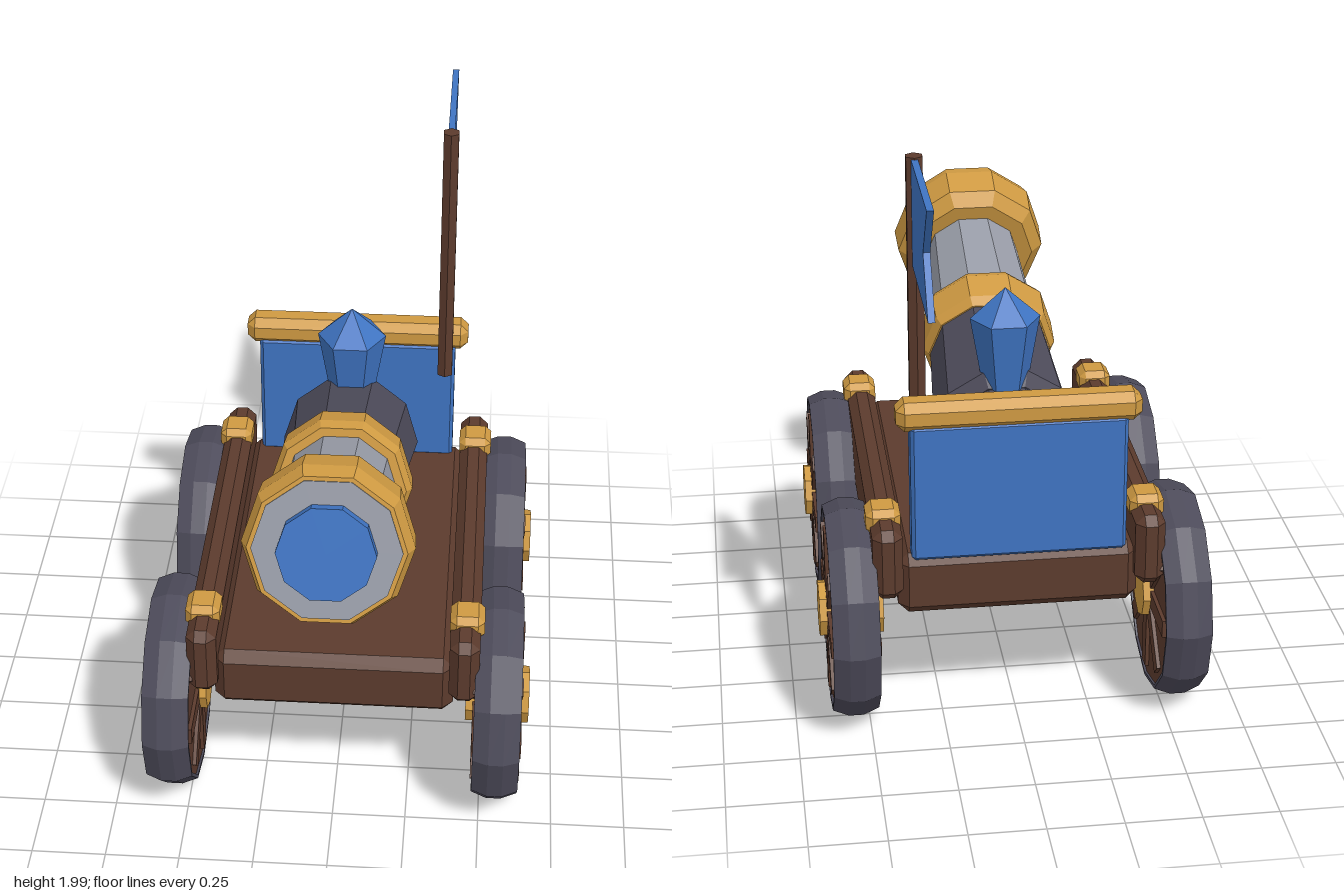
import * as THREE from 'three';
import { ConvexGeometry } from 'three/addons/geometries/ConvexGeometry.js';

function material(name, color) {
  const m = new THREE.MeshStandardMaterial({ color, flatShading: true });
  m.name = name;
  return m;
}

// Box with chamfered edges: w, h, d are full sizes, c is the chamfer
function chamferBox(w, h, d, c) {
  const pts = [];
  const [X, Y, Z] = [w / 2, h / 2, d / 2];
  for (const i of [-1, 1]) for (const j of [-1, 1]) for (const k of [-1, 1]) {
    pts.push(new THREE.Vector3(i * X, j * (Y - c), k * (Z - c)));
    pts.push(new THREE.Vector3(i * (X - c), j * Y, k * (Z - c)));
    pts.push(new THREE.Vector3(i * (X - c), j * (Y - c), k * Z));
  }
  return new ConvexGeometry(pts);
}

// Lathe from [radius, height] pairs listed bottom to top
function lathe(pairs, sides, start = 0) {
  return new THREE.LatheGeometry(pairs.map(p => new THREE.Vector2(p[0], p[1])), sides, start);
}

export function createModel() {
  const model = new THREE.Group();
  model.name = 'cannonCart';
  const wood = material('wood', 0x5c3b2d);
  const gold = material('gold', 0xcf9a42);
  const steel = material('lightSteel', 0x989ca7);
  const iron = material('darkIron', 0x4d4b5a);
  const blue = material('blue', 0x3f74c2);

  function add(parent, name, geometry, mat, x = 0, y = 0, z = 0) {
    const mesh = new THREE.Mesh(geometry, mat);
    mesh.name = name;
    mesh.position.set(x, y, z);
    parent.add(mesh);
    return mesh;
  }

  // Cart bed, side rails and clamps
  add(model, 'deck', chamferBox(0.8, 0.22, 1.3, 0.035), wood, 0, 0.54, 0.05);
  for (const s of [-1, 1]) {
    add(model, 'sideRail', chamferBox(0.1, 0.25, 1.38, 0.03), wood, s * 0.435, 0.635, 0.05);
    for (const z of [0.57, -0.47])
      add(model, 'railClamp', chamferBox(0.115, 0.09, 0.125, 0.022), gold, s * 0.44, 0.742, z);
  }

  // Back board with its top bar
  add(model, 'backBoard', chamferBox(0.71, 0.48, 0.09, 0.012), blue, 0, 0.88, -0.565);
  add(model, 'backBar', chamferBox(0.8, 0.1, 0.11, 0.028), gold, 0, 1.152, -0.567);

  // Wheels: axis along local y, turned to lie along x
  function wheel(side, z) {
    const g = new THREE.Group();
    g.name = 'wheel';
    g.position.set(side * 0.55, 0.374, z);
    g.rotation.z = -side * Math.PI / 2;
    add(g, 'tyre', lathe([[0.335, -0.066], [0.335, -0.078], [0.347, -0.078], [0.368, -0.025],
      [0.368, 0.025], [0.347, 0.078], [0.335, 0.078], [0.335, 0.066]], 12), iron);
    add(g, 'wheelDisc', new THREE.CylinderGeometry(0.338, 0.338, 0.14, 12), wood);
    for (let i = 0; i < 4; i++)
      add(g, 'spoke', new THREE.BoxGeometry(0.59, 0.166, 0.06), wood).rotation.y = i * Math.PI / 4;
    add(g, 'hub', new THREE.CylinderGeometry(0.097, 0.097, 0.215, 8), gold);
    model.add(g);
  }
  for (const s of [-1, 1]) for (const z of [0.505, -0.4]) wheel(s, z);

  // Barrel: local y runs toward the muzzle, origin at the muzzle ring
  const barrel = new THREE.Group();
  barrel.name = 'barrel';
  barrel.position.set(0, 1.24, 0.818);
  barrel.rotation.x = Math.PI / 2 - 0.3;
  model.add(barrel);
  const turn = Math.PI / 10;
  add(barrel, 'muzzleRing', lathe([[0.16, -0.115], [0.225, -0.115], [0.268, -0.07], [0.272, 0.045],
    [0.25, 0.1], [0.23, 0.1]], 10, turn), gold);
  add(barrel, 'muzzleFace', lathe([[0.236, 0.08], [0.236, 0.104], [0, 0.104]], 10, turn), steel);
  add(barrel, 'muzzlePlug', lathe([[0.157, 0.09], [0.157, 0.142], [0, 0.142]], 10, turn), blue);
  add(barrel, 'frontTube', lathe([[0.195, -0.6], [0.17, -0.08]], 10, turn), steel);
  add(barrel, 'middleRing', lathe([[0.19, -0.672], [0.215, -0.672], [0.235, -0.64], [0.238, -0.53],
    [0.22, -0.495], [0.18, -0.495]], 10, turn), gold);
  add(barrel, 'rearTube', lathe([[0, -1.095], [0.2, -1.095], [0.237, -1.05], [0.205, -0.6]], 10, turn), iron);
  add(barrel, 'breechDome', new THREE.SphereGeometry(0.205, 10, 8), iron, 0, -1.14, 0);

  // Mount under the barrel
  add(model, 'barrelMount', chamferBox(0.33, 0.22, 0.4, 0.03), iron, 0, 0.73, -0.085);

  // Faceted crystal on the breech
  add(model, 'crystal', lathe([[0, 1.08], [0.074, 1.08], [0.118, 1.335], [0, 1.44]], 6, Math.PI / 6),
    blue, 0, 0, -0.235);

  // Flagpole and swallowtail flag
  add(model, 'flagPole', new THREE.CylinderGeometry(0.03, 0.03, 0.97, 6), wood, 0.32, 1.508, -0.497);
  const outline = new THREE.Shape([[0.51, 1.638], [0.998, 1.638], [0.87, 1.812], [0.998, 1.987], [0.51, 1.987]]
    .map(p => new THREE.Vector2(p[0], p[1])));
  const flag = add(model, 'flag', new THREE.ExtrudeGeometry(outline, { depth: 0.022, bevelEnabled: false }),
    blue, 0.331, 0, 0);
  flag.rotation.y = Math.PI / 2;
  flag.position.x = 0.309;

  return model;
}
